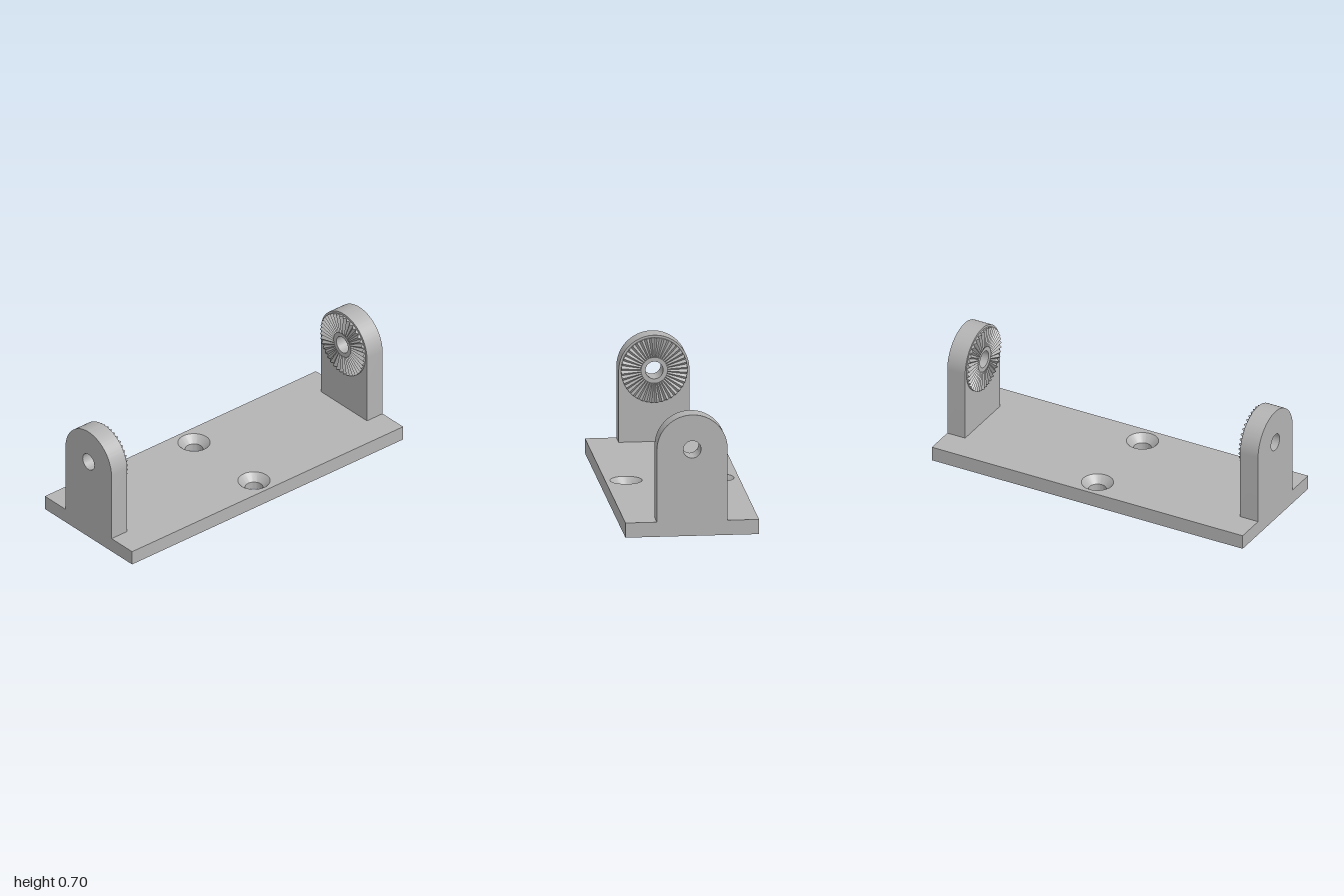
import * as THREE from 'three';
import { toCreasedNormals } from 'three/addons/utils/BufferGeometryUtils.js';

const BASE_H = 0.085, HALF_Z = 0.378, SCREW_Z = 0.26;
const ARM_X = 0.885, PIVOT_Y = 0.5, ARM_R = 0.2, BORE_R = 0.05;

function circleHole(x, y, r) {
  return new THREE.Path().absarc(x, y, r, 0, Math.PI * 2, true);
}

// Plate with two countersunk holes: straight below mid height, conical above
function basePlateGeometry() {
  const shape = new THREE.Shape();
  shape.moveTo(-1, -HALF_Z).lineTo(1, -HALF_Z).lineTo(1, HALF_Z).lineTo(-1, HALF_Z).closePath();
  const sinkR = 0.091;
  for (const s of [-1, 1]) shape.holes.push(circleHole(0, s * SCREW_Z, sinkR));
  const geo = new THREE.ExtrudeGeometry(shape, {
    depth: BASE_H, steps: 2, bevelEnabled: false, curveSegments: 24,
  });
  const p = geo.attributes.position;
  for (let i = 0; i < p.count; i++) {
    if (Math.abs(p.getX(i)) > 0.5 || p.getZ(i) > BASE_H * 0.75) continue;
    const cy = Math.sign(p.getY(i)) * SCREW_Z;
    const k = BORE_R / sinkR;
    p.setXY(i, p.getX(i) * k, cy + (p.getY(i) - cy) * k);
  }
  geo.rotateX(-Math.PI / 2);
  return toCreasedNormals(geo, 0.5);
}

// Upright arm with a round top and a pivot bore
function armGeometry() {
  const shape = new THREE.Shape();
  shape.moveTo(-ARM_R, BASE_H).lineTo(ARM_R, BASE_H).lineTo(ARM_R, PIVOT_Y);
  shape.absarc(0, PIVOT_Y, ARM_R, 0, Math.PI, false);
  shape.closePath();
  shape.holes.push(circleHole(0, PIVOT_Y, BORE_R));
  const geo = new THREE.ExtrudeGeometry(shape, {
    depth: 1 - ARM_X, bevelEnabled: false, curveSegments: 32,
  });
  geo.rotateY(Math.PI / 2).translate(ARM_X, 0, 0);
  return toCreasedNormals(geo, 0.5);
}

// Ring of radial teeth around a flat hub; each row is [radius, peak, valley]
function serrationGeometry(teeth = 40) {
  const rows = [
    [0.187, 0, 0], [0.187, 0.02, 0.003], [0.075, 0.016, 0.009],
    [0.075, 0.012, 0.012], [BORE_R, 0.012, 0.012], [BORE_R, 0, 0],
  ];
  const n = teeth * 2, pos = [], index = [];
  for (const [r, peak, valley] of rows) {
    for (let i = 0; i < n; i++) {
      const a = (i / n) * Math.PI * 2;
      pos.push(r * Math.cos(a), r * Math.sin(a), i % 2 ? peak : valley);
    }
  }
  for (let j = 0; j < rows.length - 1; j++) {
    for (let i = 0; i < n; i++) {
      const k = (i + 1) % n;
      const a = j * n + i, b = j * n + k, c = b + n, d = a + n;
      index.push(a, b, c, a, c, d);
    }
  }
  const geo = new THREE.BufferGeometry();
  geo.setAttribute('position', new THREE.Float32BufferAttribute(pos, 3));
  geo.setIndex(index);
  geo.rotateY(-Math.PI / 2).translate(ARM_X, PIVOT_Y, 0);
  const flat = geo.toNonIndexed();
  flat.computeVertexNormals();
  return flat;
}

export function createModel() {
  const grey = new THREE.MeshStandardMaterial({ color: 0xb3b3b3 });
  grey.name = 'plain grey';
  const model = new THREE.Group();
  model.name = 'pivotBracket';

  const add = (parent, name, geo) => {
    const mesh = new THREE.Mesh(geo, grey);
    mesh.name = name;
    parent.add(mesh);
  };

  add(model, 'basePlate', basePlateGeometry());

  // Matching arms with their toothed faces turned inward
  const arm = armGeometry(), serration = serrationGeometry();
  for (const side of ['left', 'right']) {
    const group = new THREE.Group();
    group.name = side + 'Bracket';
    add(group, side + 'Arm', arm);
    add(group, side + 'Serration', serration);
    if (side === 'right') group.rotation.y = Math.PI;
    model.add(group);
  }
  return model;
}
